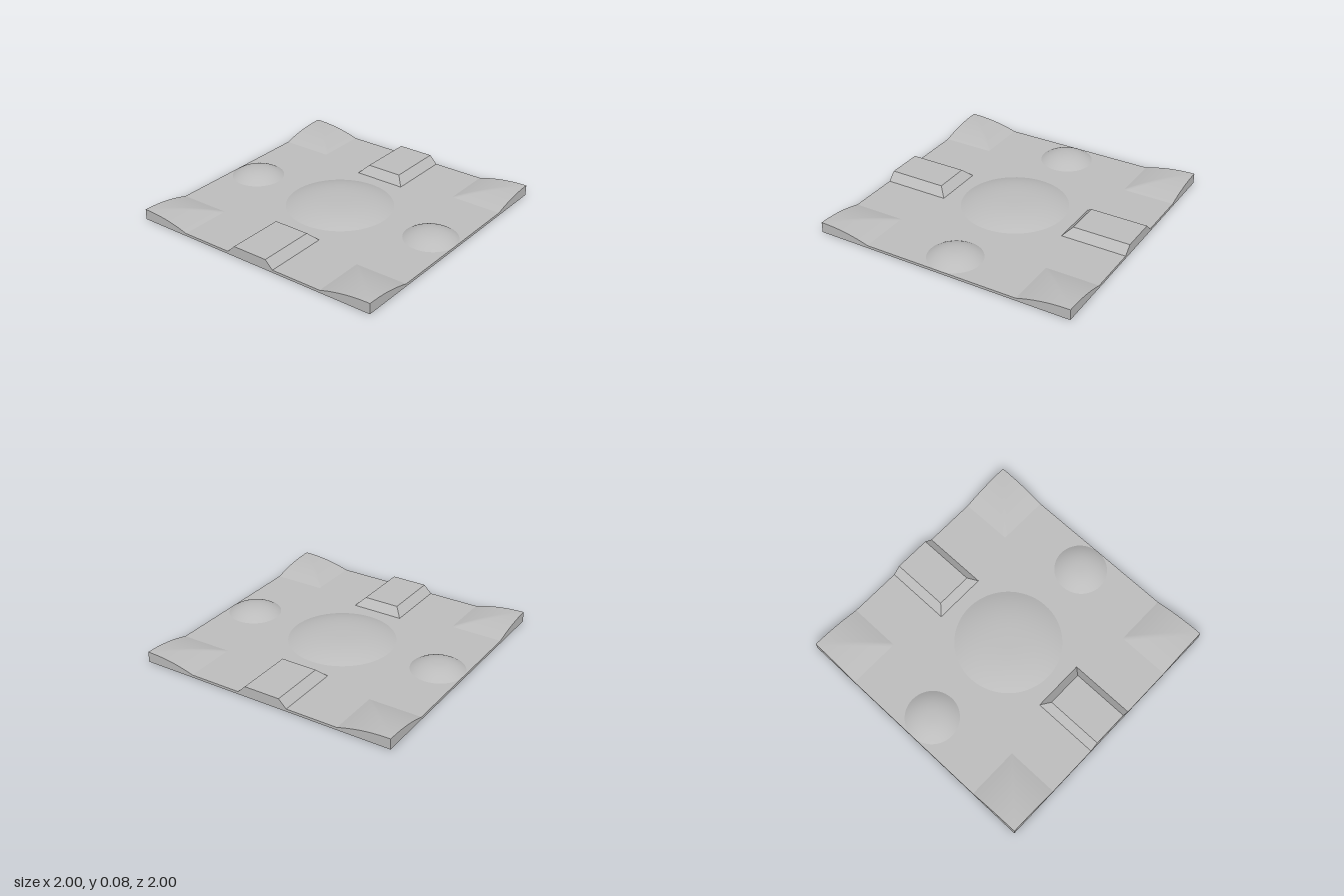
import * as THREE from 'three';

const BASE = 0.02, RISE = 0.06;

// Low dome whose height falls off with a power of the radius
function domeGeometry(radius, power) {
  const profile = [];
  for (let i = 0; i <= 20; i++) {
    const t = 1 - i / 20;
    profile.push(new THREE.Vector2(radius * t, BASE + RISE * (1 - t ** power)));
  }
  return new THREE.LatheGeometry(profile, 64);
}

// Rise of a corner mound at distance d inward from the mound's foot
const moundHeight = (d) => BASE + RISE * (1 - (1 - Math.min(d / 0.4, 1)) ** 2.1);

// Curved upper skin of the mound at the +x, -z corner
function moundSkin() {
  const g = new THREE.PlaneGeometry(0.4, 0.4, 16, 16).rotateX(-Math.PI / 2).translate(0.8, 0, -0.8);
  const p = g.attributes.position;
  for (let i = 0; i < p.count; i++) {
    const d = Math.min(p.getX(i) - 0.6, -0.6 - p.getZ(i));
    p.setY(i, moundHeight(Math.max(d, 0)));
  }
  g.computeVertexNormals();
  return g;
}

// Upright outer wall under the mound's curved edge
function moundWall(sign) {
  const points = [];
  for (let i = 0; i <= 16; i++) {
    const d = (0.4 * i) / 16;
    points.push(new THREE.Vector2(sign * (0.6 + d), moundHeight(d)));
  }
  points.push(new THREE.Vector2(sign, BASE));
  return new THREE.ShapeGeometry(new THREE.Shape(points)).translate(0, 0, 1);
}

// Block with three bevelled sides, running out to the +z edge
function blockGeometry() {
  const g = new THREE.BoxGeometry(0.4, RISE, 0.5).translate(0, BASE + RISE / 2, 0.75);
  const p = g.attributes.position;
  for (let i = 0; i < p.count; i++) {
    if (p.getY(i) < BASE + RISE / 2) continue;
    p.setX(i, Math.sign(p.getX(i)) * 0.14);
    if (p.getZ(i) < 0.75) p.setZ(i, 0.56);
  }
  g.computeVertexNormals();
  return g;
}

export function createModel() {
  const model = new THREE.Group();
  model.name = 'floorTile';
  const grey = new THREE.MeshStandardMaterial({ color: 0xbcbcbc });
  grey.name = 'grey';

  const add = (name, geometry, parent = model) => {
    const mesh = new THREE.Mesh(geometry, grey);
    mesh.name = name;
    parent.add(mesh);
    return mesh;
  };

  add('baseSlab', new THREE.BoxGeometry(2, BASE, 2).translate(0, BASE / 2, 0));
  add('centreDome', domeGeometry(0.4, 2.7));

  // Side domes
  for (const [side, x] of [['left', 0.8], ['right', -0.8]]) {
    add(side + 'Dome', domeGeometry(0.2, 2.3)).position.x = x;
  }

  // Bevelled blocks at the front and back edges
  add('frontBlock', blockGeometry());
  add('backBlock', blockGeometry()).rotation.y = Math.PI;

  // Mounds at the four corners
  ['backLeft', 'backRight', 'frontRight', 'frontLeft'].forEach((name, i) => {
    const mound = new THREE.Group();
    mound.name = name + 'Mound';
    mound.rotation.y = (i * Math.PI) / 2;
    add('moundSkin', moundSkin(), mound);
    add('sideWall', moundWall(1).rotateY(Math.PI / 2), mound);
    add('endWall', moundWall(-1).rotateY(Math.PI), mound);
    model.add(mound);
  });

  return model;
}
